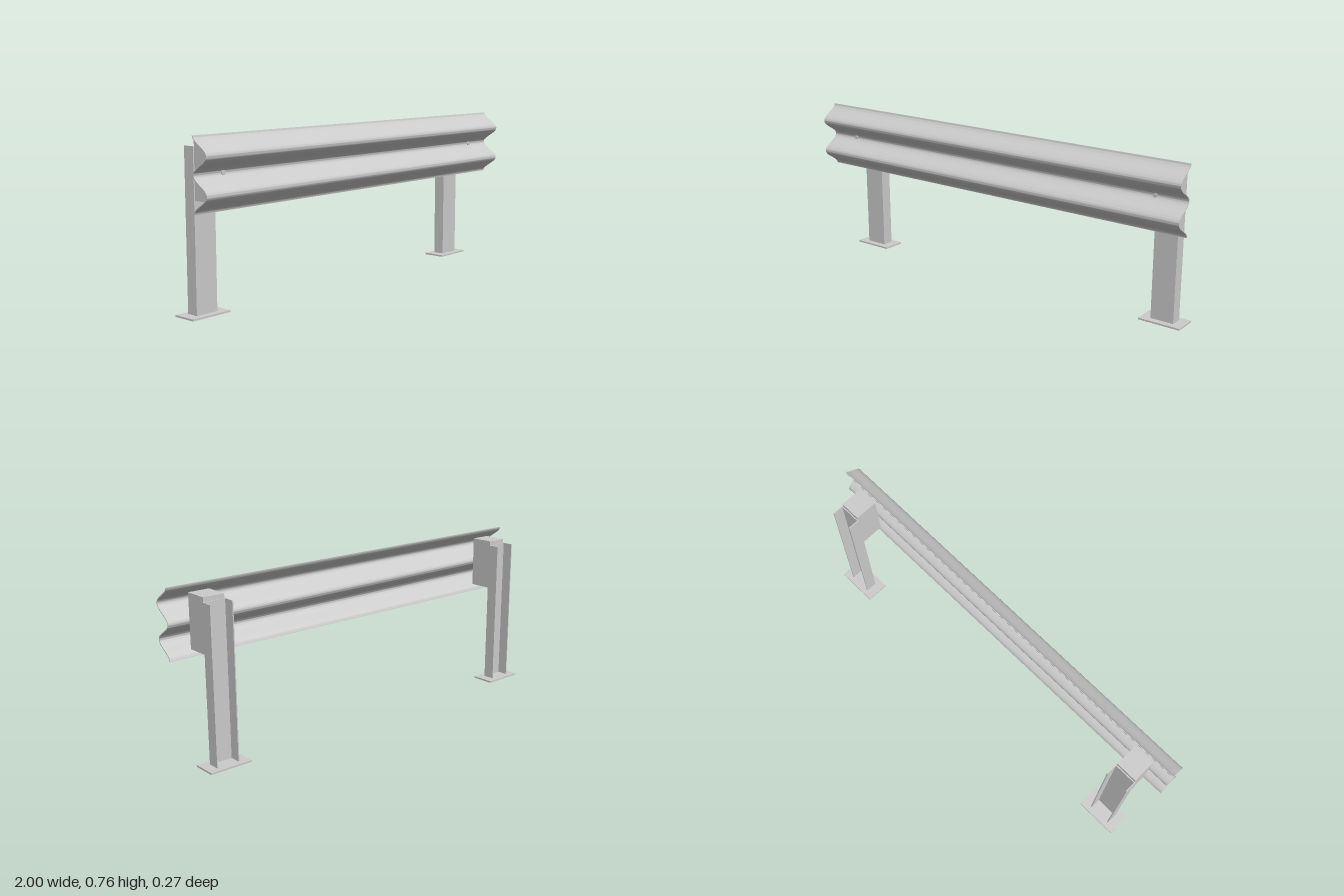
import * as THREE from 'three';
import { toCreasedNormals } from 'three/addons/utils/BufferGeometryUtils.js';

const material = new THREE.MeshStandardMaterial({ color: 0xcccccc });

function addMesh(parent, name, geometry, x = 0, y = 0, z = 0) {
  const mesh = new THREE.Mesh(geometry, material);
  mesh.name = name;
  mesh.position.set(x, y, z);
  parent.add(mesh);
  return mesh;
}

// Double-wave sheet: a cosine line thickened along its normal, swept along x
function railGeometry() {
  const bottom = 0.448, height = 0.309, steps = 88, half = 0.002;
  const k = (4 * Math.PI) / height;
  const front = [], back = [];
  for (let i = 0; i <= steps; i++) {
    const t = (height * i) / steps;
    const z = 0.0945 - 0.0385 * Math.cos(k * t);
    const slope = 0.0385 * k * Math.sin(k * t);
    const n = half / Math.hypot(1, slope);
    const y = bottom + t;
    front.push(new THREE.Vector2(-(z + n), y - slope * n));
    back.push(new THREE.Vector2(-(z - n), y + slope * n));
  }
  const shape = new THREE.Shape([...front, ...back.reverse()]);
  const geometry = new THREE.ExtrudeGeometry(shape, { depth: 2, bevelEnabled: false });
  geometry.rotateY(Math.PI / 2).translate(-1, 0, 0);
  return toCreasedNormals(geometry, 0.6);
}

// Channel post, open towards the back
function postGeometry() {
  const w = 0.055, d = 0.055, t = 0.005;
  const shape = new THREE.Shape([
    [-w, 0], [w, 0], [w, d], [w - t, d], [w - t, t], [-w + t, t], [-w + t, d], [-w, d],
  ].map(([x, y]) => new THREE.Vector2(x, y)));
  const geometry = new THREE.ExtrudeGeometry(shape, { depth: 0.694, bevelEnabled: false });
  return geometry.rotateX(-Math.PI / 2);
}

export function createModel() {
  const model = new THREE.Group();
  model.name = 'guardrail';
  addMesh(model, 'rail', railGeometry());

  // One support near each end
  for (const side of [-1, 1]) {
    const support = new THREE.Group();
    support.name = side < 0 ? 'rightSupport' : 'leftSupport';
    support.position.x = 0.85 * side;
    model.add(support);

    addMesh(support, 'basePlate', new THREE.BoxGeometry(0.2, 0.008, 0.11), 0, 0.004, -0.08);
    addMesh(support, 'post', postGeometry(), 0, 0.008, -0.055);
    addMesh(support, 'spacerBlock', new THREE.BoxGeometry(0.1, 0.24, 0.11), 0, 0.602, 0);
    const bolt = new THREE.CylinderGeometry(0.01, 0.01, 0.01, 16).rotateX(Math.PI / 2);
    addMesh(support, 'bolt', bolt, 0, 0.602, 0.059);
  }
  return model;
}
